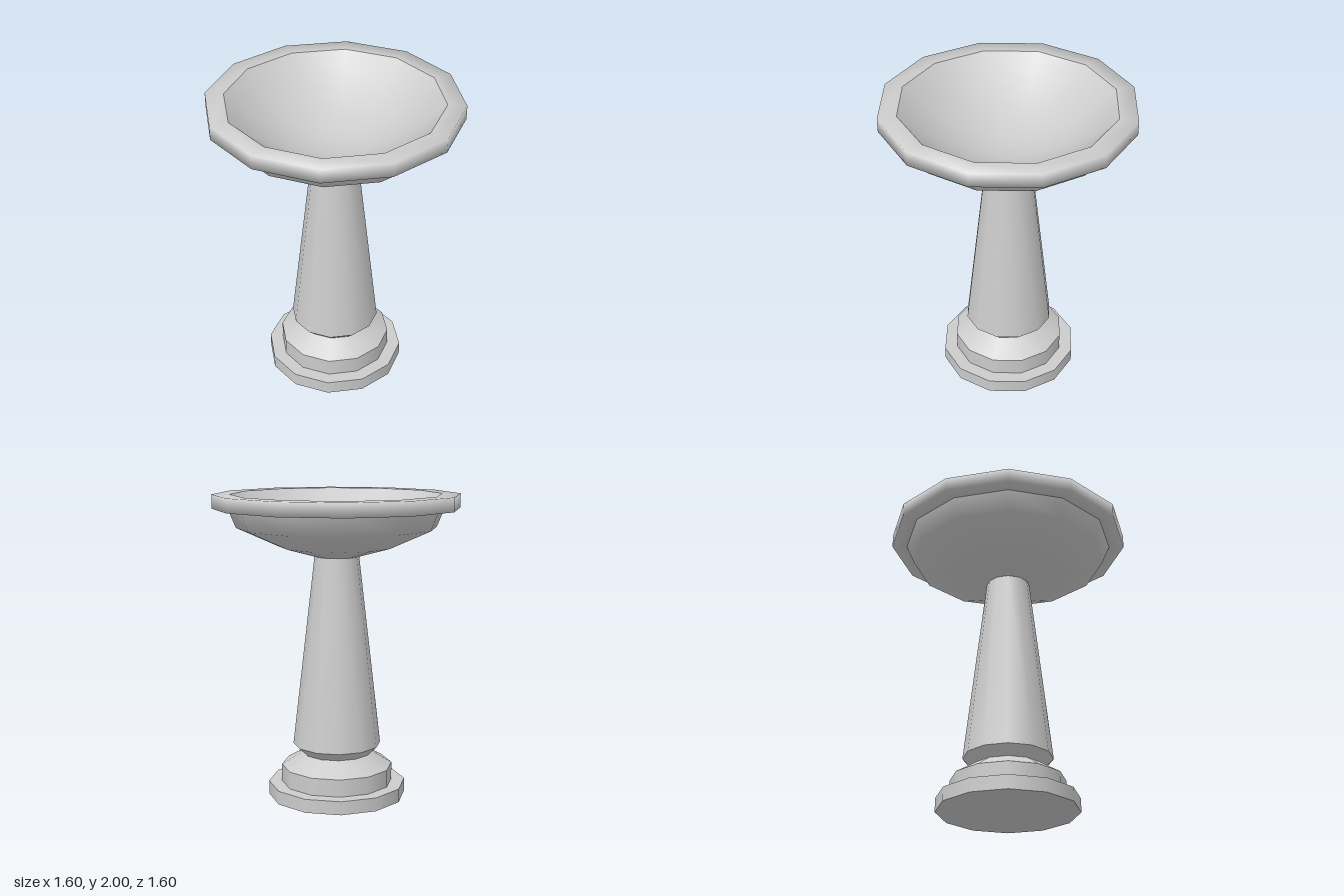
import * as THREE from 'three';

const SIDES = 12;
const stone = new THREE.MeshStandardMaterial({ color: 0xcccccc });

// Each run is one smooth stretch of profile [radius, height]; edges between runs stay sharp.
function turned(name, ...runs) {
  const part = new THREE.Group();
  part.name = name;
  runs.forEach((run, i) => {
    const points = run.map(([r, y]) => new THREE.Vector2(r, y));
    const geometry = new THREE.LatheGeometry(points, SIDES);
    geometry.normalizeNormals();
    const mesh = new THREE.Mesh(geometry, stone);
    mesh.name = `${name}Surface${i + 1}`;
    part.add(mesh);
  });
  return part;
}

// Rounded dish profile, from its lip down to the middle
function dish(radius, lip, depth, rings) {
  return Array.from({ length: rings + 1 }, (_, i) => {
    const t = 1 - i / rings;
    return [radius * t, lip - depth * (1 - t * t)];
  });
}

export function createModel() {
  const model = new THREE.Group();
  model.name = 'birdBath';

  // Floor slab
  model.add(turned('footPlate',
    [[0, 0], [0.455, 0]],
    [[0.455, 0], [0.455, 0.09]],
    [[0.455, 0.09], [0.368, 0.09]]));

  // Stepped plinth with a sloping shoulder
  model.add(turned('plinth',
    [[0.368, 0.09], [0.368, 0.205]],
    [[0.368, 0.205], [0.228, 0.29]]));

  // Undercut collar and tapering column
  model.add(turned('column',
    [[0.228, 0.29], [0.29, 0.35]],
    [[0.29, 0.35], [0.145, 1.6]]));

  // Bowl underside and hollow
  model.add(turned('bowl',
    [[0.145, 1.6], [0.37, 1.663], [0.648, 1.786], [0.7, 1.91]],
    dish(0.683, 2, 0.33, 8)));

  // Overhanging rim, softly shaded around its edge
  model.add(turned('rim',
    [[0.7, 1.91], [0.8, 1.91], [0.8, 2], [0.683, 2]]));

  return model;
}
